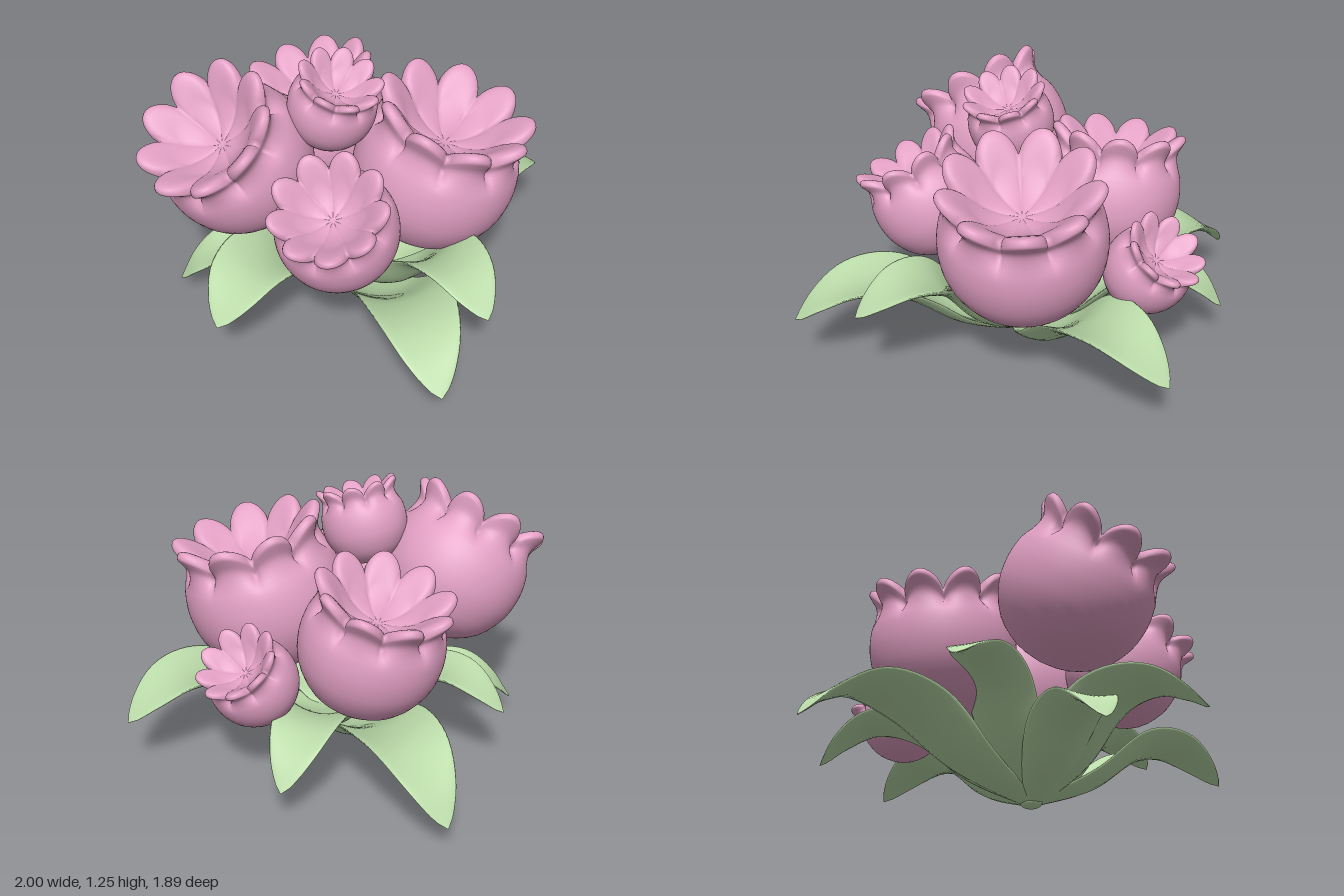
import * as THREE from 'three';
import { mergeVertices } from 'three/addons/utils/BufferGeometryUtils.js';

const pink = new THREE.MeshStandardMaterial({ color: 0xe2a0c4 });
const green = new THREE.MeshStandardMaterial({ color: 0xbcdcaa, side: THREE.DoubleSide });
const PETALS = 9;

// Unit-radius blossom: a thick-walled bowl whose rim is scalloped into plump flared petals.
function blossomGeometry() {
  const profile = new THREE.SplineCurve([
    [0, -0.98], [0.36, -0.92], [0.72, -0.7], [0.94, -0.34], [1, 0], [0.97, 0.28], [0.9, 0.5],
    [0.88, 0.66], [0.94, 0.8], [0.97, 0.88], [0.92, 0.94], [0.82, 0.9], [0.68, 0.77],
    [0.52, 0.6], [0.28, 0.44], [0, 0.38],
  ].map(([x, y]) => new THREE.Vector2(x, y)));
  const points = profile.getPoints(44);
  points.forEach((p) => { p.x = Math.max(p.x, 0); });
  const geo = new THREE.LatheGeometry(points, PETALS * 14);
  const pos = geo.attributes.position;
  for (let i = 0; i < pos.count; i++) {
    const x = pos.getX(i), y = pos.getY(i), z = pos.getZ(i);
    const r = Math.hypot(x, z);
    if (r < 1e-4) continue;
    // Gaps between petals sink down and inward
    const gap = 1 - Math.pow(Math.abs(Math.cos(PETALS * Math.atan2(x, z) / 2)), 0.75);
    const k = THREE.MathUtils.smoothstep(y, 0.32, 0.9) * gap;
    const s = (r - 0.2 * k) / r;
    pos.setXYZ(i, x * s, y - 0.25 * k, z * s);
  }
  geo.deleteAttribute('normal');
  geo.deleteAttribute('uv');
  const merged = mergeVertices(geo, 1e-4);
  merged.computeVertexNormals();
  return merged;
}

// Arching, cupped leaf from the crown to its tip, with a thin lens cross-section.
const CROWN = new THREE.Vector3(0.12, 0.025, 0.05);
const Y = new THREE.Vector3(0, 1, 0);
function leafGeometry(tip, arch, halfWidth, bend) {
  const sideways = tip.clone().sub(CROWN).cross(Y).normalize();
  const at = (t, y) => new THREE.Vector3().lerpVectors(CROWN, tip, t).setY(y)
    .addScaledVector(sideways, bend * Math.sin(Math.PI * t));
  const path = new THREE.CatmullRomCurve3([
    CROWN, at(0.3, 0.02 + arch * 0.34), at(0.55, arch * 0.88), at(0.75, arch),
    at(0.9, arch * 0.6 + tip.y * 0.4), tip,
  ]);
  const rows = 36, ring = 24, verts = [], index = [];
  for (let i = 0; i <= rows; i++) {
    const t = i / rows;
    const c = path.getPointAt(t), T = path.getTangentAt(t);
    const S = new THREE.Vector3().crossVectors(T, Y).normalize();
    const U = new THREE.Vector3().crossVectors(S, T);
    const w = halfWidth * (Math.pow(Math.sin(Math.PI * Math.pow(t, 1.2)), 0.72) + 0.22 * (1 - t)) + 0.002;
    const cup = 0.42 * w * Math.sin(Math.PI * Math.min(1, t * 0.9 + 0.1));
    const thick = 0.019 * Math.min(1, (1 - t) * 6 + 0.1);
    for (let j = 0; j < ring; j++) {
      const a = (j / ring) * Math.PI * 2, s = Math.cos(a);
      const p = c.clone().addScaledVector(S, s * w)
        .addScaledVector(U, cup * s * s + thick * Math.sin(a));
      verts.push(p.x, Math.max(p.y, 0), p.z);
      if (i < rows) {
        const q = i * ring + j, n = i * ring + (j + 1) % ring;
        index.push(q, q + ring, n, n, q + ring, n + ring);
      }
    }
  }
  const geo = new THREE.BufferGeometry();
  geo.setAttribute('position', new THREE.Float32BufferAttribute(verts, 3));
  geo.setIndex(index);
  geo.computeVertexNormals();
  return geo;
}

export function createModel() {
  const model = new THREE.Group();
  const add = (name, geo, mat) => {
    const mesh = new THREE.Mesh(geo, mat);
    mesh.name = name;
    model.add(mesh);
    return mesh;
  };

  // Blossoms: centre, radius, direction the mouth faces, spin of the petals
  const blossom = blossomGeometry();
  [
    ['frontRightBlossom', [-0.26, 0.785, 0.485], 0.338, [-0.07, 0.81, 0.58], 0],
    ['frontLeftBlossom', [0.29, 0.65, 0.45], 0.268, [0.18, 0.86, 0.45], 0],
    ['backLeftBlossom', [0.345, 0.665, -0.155], 0.374, [0.22, 0.96, -0.15], 0.2],
    ['backRightBlossom', [-0.335, 0.63, -0.14], 0.325, [-0.25, 0.96, 0.05], 0.1],
    ['centreBud', [0.022, 1.02, 0.175], 0.195, [0.32, 0.94, 0], 0.3],
    ['backBud', [-0.03, 0.49, -0.555], 0.198, [0, 0.81, -0.59], Math.PI],
  ].forEach(([name, centre, radius, facing, spin]) => {
    const flower = add(name, blossom, pink);
    flower.position.set(...centre);
    flower.scale.setScalar(radius);
    flower.quaternion.setFromUnitVectors(Y, new THREE.Vector3(...facing).normalize());
    flower.rotateY(spin);
  });

  // Leaves: tip, arch height, half width, sideways bend
  [
    [[0.38, 0.27, -0.95], 0.385, 0.18, 0.06],
    [[-0.4, 0.18, -0.74], 0.34, 0.15, -0.06],
    [[-1, 0.13, -0.37], 0.325, 0.18, 0.04],
    [[-0.8, 0.34, 0.22], 0.445, 0.14, 0],
    [[0.03, 0.27, 0.94], 0.39, 0.19, 0.08],
    [[1, 0.27, 0.63], 0.39, 0.18, 0],
    [[0.96, 0.41, 0.27], 0.49, 0.17, -0.04],
    [[-0.48, 0.09, 0.7], 0.245, 0.14, 0],
  ].forEach(([tip, arch, half, bend], i) =>
    add('leaf' + (i + 1), leafGeometry(new THREE.Vector3(...tip), arch, half, bend), green));

  // Small crown joining the leaves
  const crown = add('leafCrown', new THREE.SphereGeometry(1, 24, 12), green);
  crown.position.copy(CROWN);
  crown.scale.set(0.05, 0.025, 0.05);
  return model;
}
